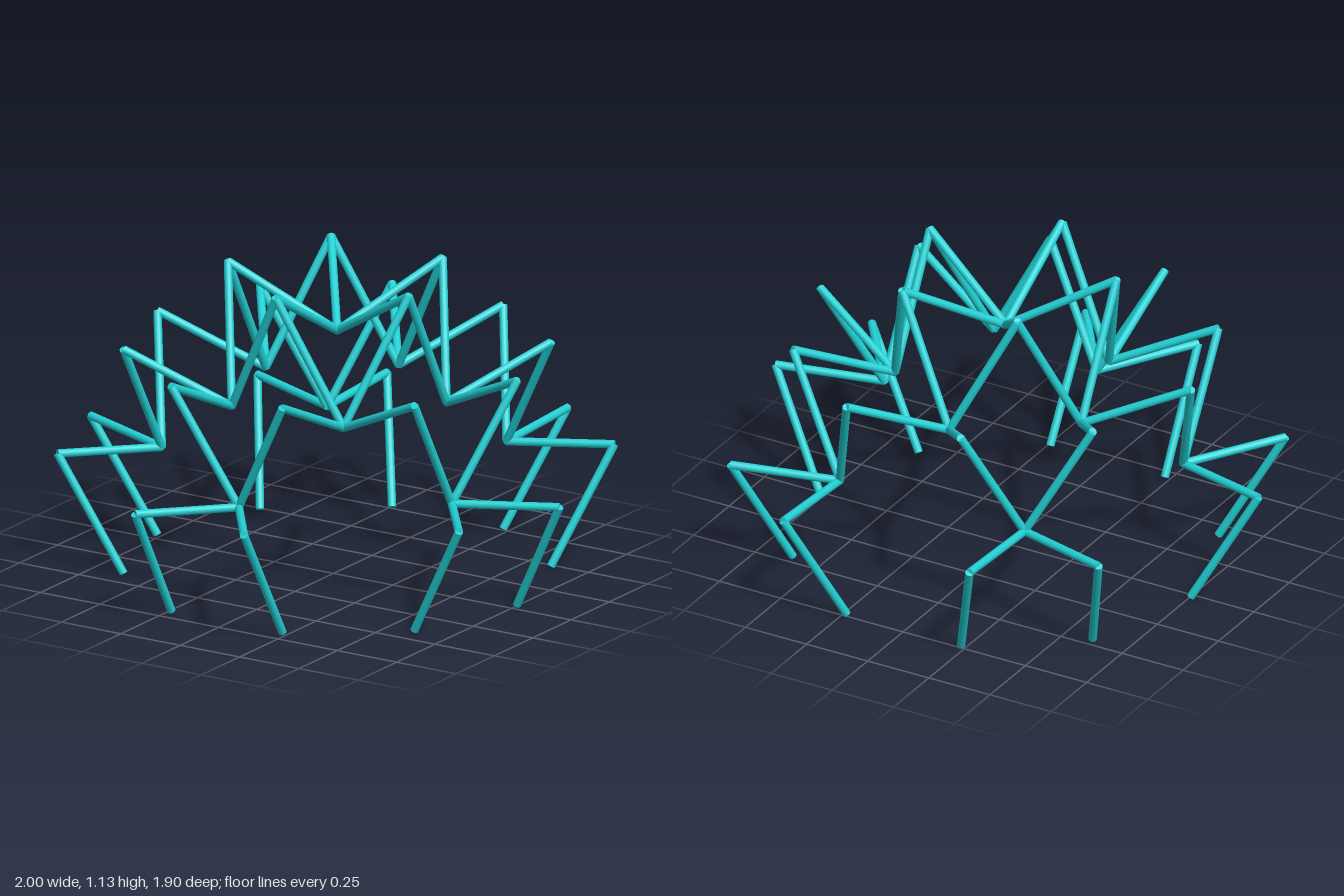
import * as THREE from 'three';

const ROD_RADIUS = 0.015;
const CENTRE_Z = -0.0245;
const FOLDS = 5;

export function createModel() {
  const model = new THREE.Group();
  model.name = 'starDomeFrame';
  const material = new THREE.MeshStandardMaterial({ color: 0x22d0d4 });

  // Joint position from an angle off the front (degrees), a radius and a height
  const joint = (degrees, radius, y) => {
    const a = THREE.MathUtils.degToRad(degrees);
    return new THREE.Vector3(radius * Math.sin(a), y, radius * Math.cos(a) + CENTRE_Z);
  };

  // Straight round bar between two joints
  const up = new THREE.Vector3(0, 1, 0);
  const rod = (parent, name, a, b) => {
    const span = b.clone().sub(a);
    const geometry = new THREE.CylinderGeometry(ROD_RADIUS, ROD_RADIUS, span.length(), 16);
    const mesh = new THREE.Mesh(geometry, material);
    mesh.name = name;
    mesh.position.copy(a).add(b).multiplyScalar(0.5);
    mesh.quaternion.setFromUnitVectors(up, span.normalize());
    parent.add(mesh);
  };

  const apex = joint(0, 0, 0.895);

  for (let i = 0; i < FOLDS; i++) {
    const turn = (i * 360) / FOLDS;
    const sector = new THREE.Group();
    sector.name = 'sector' + (i + 1);
    model.add(sector);

    const crown = joint(turn, 0.4, 1.12);
    const lowerValley = joint(turn, 0.642, 0.41);
    rod(sector, 'apexRod', apex, crown);

    // Mirrored halves of each sector
    for (const side of [-1, 1]) {
      const upperValley = joint(turn + side * 36, 0.4, 0.66);
      const shoulder = joint(turn + side * 18, 0.757, 0.838);
      const knee = joint(turn + side * 13.4, 0.99, 0.43);
      const foot = joint(turn + side * 18, 0.757, 0.007);

      rod(sector, 'crownRod', crown, upperValley);
      rod(sector, 'shoulderRod', upperValley, shoulder);
      rod(sector, 'valleyRod', shoulder, lowerValley);
      rod(sector, 'kneeRod', lowerValley, knee);
      rod(sector, 'leg', knee, foot);
    }
  }
  return model;
}
